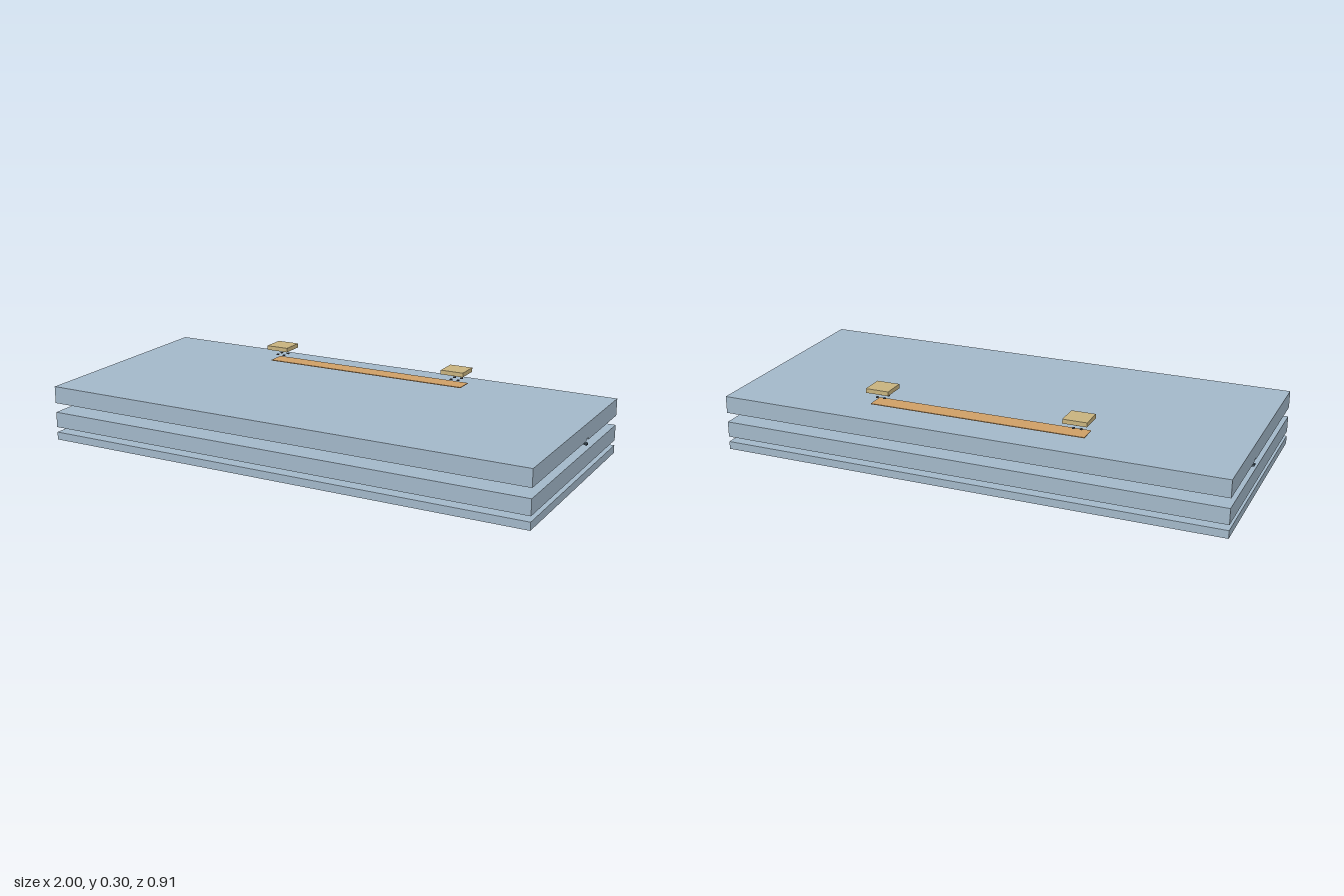
import * as THREE from 'three';

const HALF_DEPTH = 0.453;

// Centre line of the winding thread: one broad wave, symmetric about x = 0
function waveZ(x) {
  const a = Math.abs(x), trough = 0.58;
  if (a < trough) return 0.015 + 0.312 * Math.cos(Math.PI * a / trough);
  return -0.297 + 0.187 * (1 - Math.cos((Math.PI / 2) * (a - trough) / (1 - trough)));
}

// Points offset sideways from the wave, running from x = -1 to x = 1
function waveEdge(offset, steps = 96) {
  const points = [];
  for (let i = 0; i <= steps; i++) {
    const x = -1 + (2 * i) / steps;
    const slope = (waveZ(x + 0.001) - waveZ(x - 0.001)) / 0.002;
    const len = Math.hypot(1, slope);
    let px = x - (slope / len) * offset;
    if (i === 0 || i === steps) px = x;
    const pz = waveZ(x) + (i === 0 || i === steps ? offset * len : offset / len);
    points.push(new THREE.Vector2(px, pz));
  }
  return points;
}

// Flat slab from an outline in x and z, standing from y upward
function slabGeometry(outline, y, height) {
  const shape = new THREE.Shape(outline.map((p) => new THREE.Vector2(p.x, -p.y)));
  const geometry = new THREE.ExtrudeGeometry(shape, { depth: height, bevelEnabled: false });
  geometry.rotateX(-Math.PI / 2);
  geometry.translate(0, y, 0);
  return geometry;
}

export function createModel() {
  const model = new THREE.Group();
  model.name = 'layeredPanel';

  const material = (name, color) => {
    const m = new THREE.MeshStandardMaterial({ color });
    m.name = name;
    return m;
  };
  const panelBlue = material('panelBlue', 0xa3b8c9);
  const threadDark = material('threadDark', 0x40505c);
  const copper = material('copper', 0xcf9f66);
  const padTan = material('padTan', 0xc8b37f);
  const contactGrey = material('contactGrey', 0x55585c);

  const add = (parent, name, geometry, mat) => {
    const mesh = new THREE.Mesh(geometry, mat);
    mesh.name = name;
    parent.add(mesh);
    return mesh;
  };
  // Box given by its centre in x and z and its bottom and top in y
  const box = (parent, name, mat, width, depth, bottom, top, x = 0, z = 0) => {
    const mesh = add(parent, name, new THREE.BoxGeometry(width, top - bottom, depth), mat);
    mesh.position.set(x, (bottom + top) / 2, z);
  };

  // Lower two panels
  box(model, 'basePanel', panelBlue, 2, HALF_DEPTH * 2, 0, 0.031);
  box(model, 'middlePanel', panelBlue, 2, HALF_DEPTH * 2, 0.052, 0.114);

  // Top panel with a winding groove in its underside
  const topPanel = new THREE.Group();
  topPanel.name = 'topPanel';
  model.add(topPanel);
  box(topPanel, 'topPanelBody', panelBlue, 2, HALF_DEPTH * 2, 0.16, 0.22);
  for (const side of [-1, 1]) {
    const outline = [
      ...waveEdge(side * 0.0075),
      new THREE.Vector2(1, side * HALF_DEPTH),
      new THREE.Vector2(-1, side * HALF_DEPTH),
    ];
    add(topPanel, side > 0 ? 'grooveFrontSide' : 'grooveBackSide',
      slabGeometry(outline, 0.152, 0.008), panelBlue);
  }

  // Winding thread between the middle and top panels
  const ribbon = [...waveEdge(0.007), ...waveEdge(-0.007).reverse()];
  add(model, 'windingThread', slabGeometry(ribbon, 0.133, 0.007), threadDark);

  // Copper strip near the back edge
  const stripZ = -0.296;
  box(model, 'copperStrip', copper, 0.86, 0.073, 0.231, 0.234, 0, stripZ);

  // End pads with four small contacts under each
  for (const side of [-1, 1]) {
    const end = new THREE.Group();
    end.name = side > 0 ? 'leftEndPad' : 'rightEndPad';
    model.add(end);
    box(end, 'pad', padTan, 0.094, 0.093, 0.279, 0.296, side * 0.396, stripZ);
    for (const dx of [-0.015, 0.015]) {
      for (const dz of [-0.016, 0.016]) {
        box(end, 'contact', contactGrey, 0.009, 0.009, 0.2535, 0.2575, side * 0.396 + dx, stripZ + dz);
      }
    }
  }

  return model;
}
